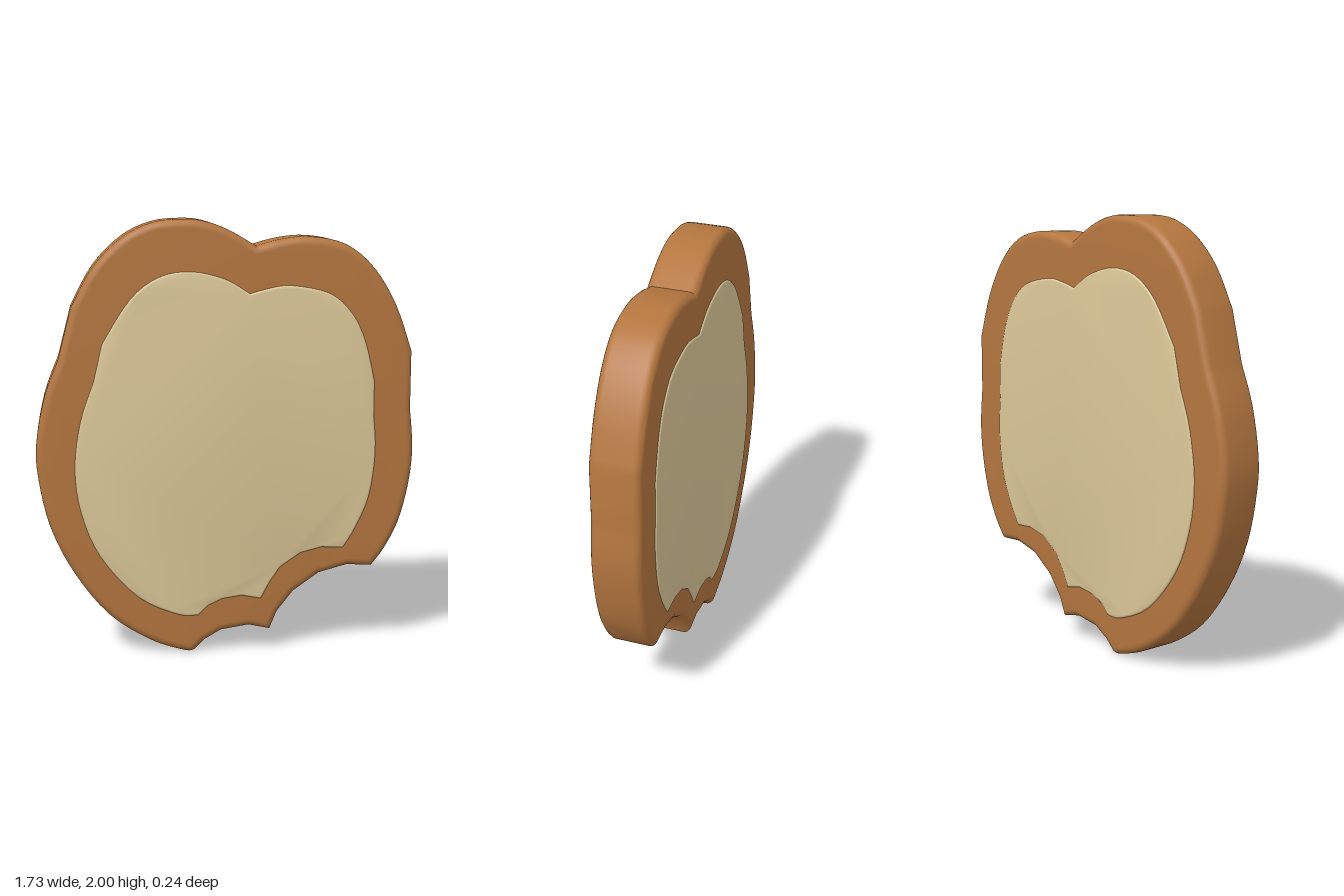
import * as THREE from 'three';
import { toCreasedNormals } from 'three/addons/utils/BufferGeometryUtils.js';

// Outline runs, counter-clockwise; each run is smooth and meets the next at a corner.
const crustRuns = [
  // two bites
  [[-0.155, 0.005], [-0.11, 0.05], [-0.03, 0.097], [0.1, 0.117], [0.2, 0.095]],
  [[0.2, 0.095], [0.235, 0.18], [0.31, 0.275], [0.43, 0.36], [0.56, 0.395], [0.68, 0.39]],
  // right side
  [[0.68, 0.39], [0.74, 0.47], [0.805, 0.6], [0.85, 0.78], [0.865, 0.95], [0.85, 1.13]],
  // right lobe
  [[0.85, 1.4], [0.775, 1.61], [0.67, 1.78], [0.54, 1.885], [0.38, 1.92], [0.245, 1.91], [0.13, 1.88]],
  // left lobe
  [[0.13, 1.88], [0.01, 1.95], [-0.1, 1.99], [-0.2, 2], [-0.335, 1.985], [-0.47, 1.92], [-0.6, 1.79], [-0.7, 1.61]],
  // left side
  [[-0.76, 1.38], [-0.825, 1.21], [-0.865, 1], [-0.86, 0.84], [-0.81, 0.61], [-0.705, 0.39],
    [-0.55, 0.19], [-0.36, 0.06], [-0.2, 0.003], [-0.155, 0.005]],
];

const spreadRuns = [
  [[-0.135, 0.18], [-0.09, 0.225], [-0.025, 0.255], [0.065, 0.268], [0.155, 0.25]],
  [[0.155, 0.25], [0.195, 0.325], [0.245, 0.4], [0.34, 0.465], [0.44, 0.49], [0.54, 0.485]],
  [[0.54, 0.485], [0.6, 0.585], [0.66, 0.735], [0.685, 0.935], [0.675, 1.105]],
  [[0.675, 1.265], [0.63, 1.45], [0.565, 1.58], [0.46, 1.67], [0.29, 1.705], [0.195, 1.695], [0.1, 1.67]],
  [[0.1, 1.67], [-0.01, 1.735], [-0.165, 1.77], [-0.31, 1.745], [-0.44, 1.645], [-0.565, 1.45]],
  [[-0.605, 1.28], [-0.665, 1.105], [-0.695, 0.89], [-0.67, 0.68], [-0.585, 0.47],
    [-0.415, 0.275], [-0.23, 0.185], [-0.135, 0.18]],
];

function outline(runs) {
  const points = [];
  runs.forEach((run, i) => {
    const corners = run.map(([x, y]) => new THREE.Vector2(x, y));
    // bites keep their straight chips, the rest is curved
    const line = i < 2 ? corners : new THREE.SplineCurve(corners).getPoints((run.length - 1) * 4);
    for (const p of line) {
      if (!points.length || p.distanceTo(points[points.length - 1]) > 1e-4) points.push(p);
    }
  });
  if (points[0].distanceTo(points[points.length - 1]) < 1e-4) points.pop();
  return new THREE.Shape(points);
}

// Slab with rounded rims, centred on z = 0
function slab(name, runs, halfDepth, round, color) {
  const depth = 2 * (halfDepth - round);
  const geometry = new THREE.ExtrudeGeometry(outline(runs), {
    depth, bevelEnabled: true, bevelThickness: round, bevelSize: round, bevelOffset: -round, bevelSegments: 5,
  });
  geometry.translate(0, 0, -depth / 2);
  const mesh = new THREE.Mesh(toCreasedNormals(geometry, 0.6), new THREE.MeshStandardMaterial({ color }));
  mesh.name = name;
  return mesh;
}

export function createModel() {
  const model = new THREE.Group();
  model.name = 'bittenToast';
  model.add(
    slab('crust', crustRuns, 0.115, 0.035, 0xb4763f),
    slab('breadFace', spreadRuns, 0.122, 0.012, 0xdcc898),
  );
  return model;
}
